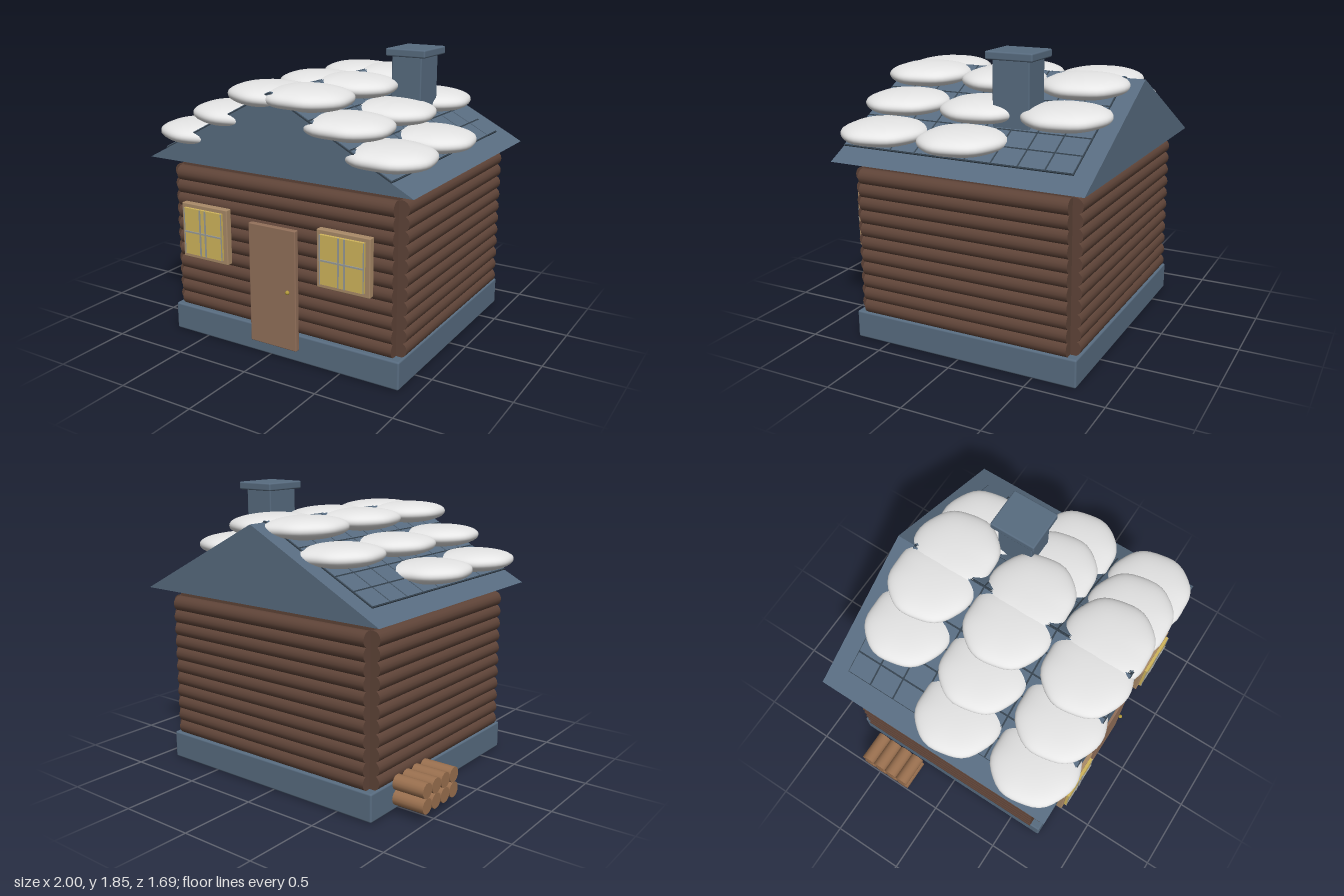
import * as THREE from 'three';
import { RoundedBoxGeometry } from 'three/addons/geometries/RoundedBoxGeometry.js';

const material = (name, color) => {
  const m = new THREE.MeshStandardMaterial({ color });
  m.name = name;
  return m;
};

export function createModel() {
  const model = new THREE.Group();
  model.name = 'logCabin';
  const slate = material('slate', 0x586c80);
  const joint = material('tileJoint', 0x34414d);
  const logWood = material('darkLogWood', 0x5f4438);
  const doorWood = material('doorWood', 0x92705a);
  const frameWood = material('frameWood', 0xa98a68);
  const glass = material('litGlass', 0xd0b55c);
  const bar = material('windowBar', 0x9a9c98);
  const brass = material('brass', 0xb39a3c);
  const cutWood = material('cutWood', 0x9a704f);
  const snow = material('snow', 0xe6e6e6);

  const cx = 0.07; // middle of the house across
  const cz = -0.03; // middle of the house front to back

  const add = (name, geometry, mat, x = 0, y = 0, z = 0, parent = model) => {
    const mesh = new THREE.Mesh(geometry, mat);
    mesh.name = name;
    mesh.position.set(x, y, z);
    parent.add(mesh);
    return mesh;
  };
  // box given by its limits, with optional soft edges
  const box = (name, mat, x0, x1, y0, y1, z0, z1, r = 0, parent = model) => {
    const size = [x1 - x0, y1 - y0, z1 - z0];
    const g = r ? new RoundedBoxGeometry(...size, 2, r) : new THREE.BoxGeometry(...size);
    return add(name, g, mat, (x0 + x1) / 2, (y0 + y1) / 2, (z0 + z1) / 2, parent);
  };
  const group = (name) => {
    const g = new THREE.Group();
    g.name = name;
    model.add(g);
    return g;
  };

  // base and wall core
  box('foundation', slate, -0.755, 0.895, 0.005, 0.185, -0.78, 0.73, 0.012);
  box('wallCore', logWood, -0.7, 0.84, 0.18, 1.155, -0.72, 0.66);
  box('ceiling', logWood, -0.7, 0.84, 1.17, 1.18, -0.72, 0.66);

  // horizontal logs on all four walls
  const walls = group('logWalls');
  const longLog = new THREE.CylinderGeometry(0.05, 0.05, 1.54, 16).rotateZ(Math.PI / 2);
  const sideLog = new THREE.CylinderGeometry(0.05, 0.05, 1.38, 16).rotateX(Math.PI / 2);
  for (let i = 0; i < 11; i++) {
    const y = 0.23 + i * 0.0845;
    for (const s of [-1, 1]) {
      add('wallLog', longLog, logWood, cx, y, cz + s * 0.705, walls);
      add('sideLog', sideLog, logWood, cx + s * 0.788, y, cz, walls);
    }
  }

  // gable roof
  const half = 0.922, eave = 1.18, ridge = 1.66;
  const gable = new THREE.Shape();
  gable.moveTo(-half, eave);
  gable.lineTo(half, eave);
  gable.lineTo(0, ridge);
  gable.closePath();
  add('roof', new THREE.ExtrudeGeometry(gable, { depth: 1.64, bevelEnabled: false }), slate, cx, 0, -0.85);

  // tiles on both slopes, over a dark plate that shows in the joints
  const angle = Math.atan2(ridge - eave, half);
  const cols = 6, rows = 9, pitch = 0.148, rowPitch = 1.52 / rows;
  const tile = new THREE.BoxGeometry(pitch - 0.011, 0.014, rowPitch - 0.011);
  for (const s of [-1, 1]) {
    const slope = group(s < 0 ? 'rightRoofTiles' : 'leftRoofTiles');
    slope.position.set(cx, ridge, 0);
    slope.rotation.z = -s * angle;
    add('tileBed', new THREE.BoxGeometry(pitch * cols, 0.008, 1.52), joint, s * pitch * cols / 2, 0.003, 0.03, slope);
    for (let c = 0; c < cols; c++) {
      for (let r = 0; r < rows; r++) {
        add('tile', tile, slate, s * pitch * (c + 0.5), 0.005, -0.73 + rowPitch * (r + 0.5), slope);
      }
    }
  }

  // chimney
  box('chimneyStack', slate, 0.385, 0.59, 1.34, 1.81, -0.335, -0.095, 0.008);
  box('chimneyCap', slate, 0.355, 0.625, 1.8, 1.85, -0.37, -0.065, 0.01);

  // soft pillow of snow: a sphere with fuller edges and an uneven outline
  const pillow = new THREE.SphereGeometry(1, 40, 24);
  const p = pillow.attributes.position;
  const v = new THREE.Vector3();
  for (let i = 0; i < p.count; i++) {
    v.fromBufferAttribute(p, i);
    const a = Math.atan2(v.z, v.x);
    const n = 2.25;
    const k = (Math.abs(v.x) ** n + Math.abs(v.y) ** n + Math.abs(v.z) ** n) ** (-1 / n);
    const flat = Math.hypot(v.x, v.z);
    const w = 1 + flat * (0.018 * Math.sin(3 * a + 1) + 0.014 * Math.sin(7 * a));
    p.setXYZ(i, v.x * k * w * 0.26, v.y * k * 0.07, v.z * k * w * 0.265);
  }
  pillow.computeVertexNormals();
  const snowCover = group('snowCover');
  for (const s of [-1, 1]) {
    for (let c = 0; c < 3; c++) {
      [0.565, 0.025, -0.515].forEach((z, r) => {
        if (c === 2 && r === 2) return; // bare lower corner at the back
        const heap = add('snowHeap', pillow, snow, cx + s * (0.125 + c * 0.27), 1.62 - c * 0.14, z, snowCover);
        heap.rotation.y = s < 0 ? Math.PI : 0;
        heap.rotation.z = -s * 0.03;
      });
    }
  }

  // door with knob
  box('door', doorWood, -0.1, 0.235, 0.105, 0.87, 0.755, 0.79, 0.006);
  add('doorKnob', new THREE.SphereGeometry(0.013, 16, 12), brass, 0.187, 0.485, 0.805);

  // windows
  for (const x of [-0.43, 0.565]) {
    const win = group('window');
    win.position.x = x;
    box('windowFrame', frameWood, -0.175, 0.175, 0.565, 0.92, 0.755, 0.8, 0.006, win);
    box('windowGlass', glass, -0.145, 0.145, 0.595, 0.895, 0.798, 0.818, 0, win);
    for (const s of [-1, 1]) {
      box('uprightBar', bar, s * 0.02 - 0.005, s * 0.02 + 0.005, 0.595, 0.895, 0.817, 0.823, 0, win);
      box('edgeBar', bar, s * 0.143 - 0.003, s * 0.143 + 0.003, 0.595, 0.895, 0.817, 0.821, 0, win);
    }
    box('crossBar', bar, -0.145, 0.145, 0.738, 0.748, 0.817, 0.825, 0, win);
  }

  // stacked firewood beside the house
  const pile = group('firewood');
  const firewood = new THREE.CylinderGeometry(0.048, 0.048, 0.21, 16).rotateZ(Math.PI / 2);
  for (let i = 0; i < 4; i++) {
    for (let j = 0; j < 2; j++) {
      add('firewoodLog', firewood, cutWood, -0.895, 0.108 + j * 0.095, -0.573 + i * 0.096, pile);
    }
  }

  return model;
}
